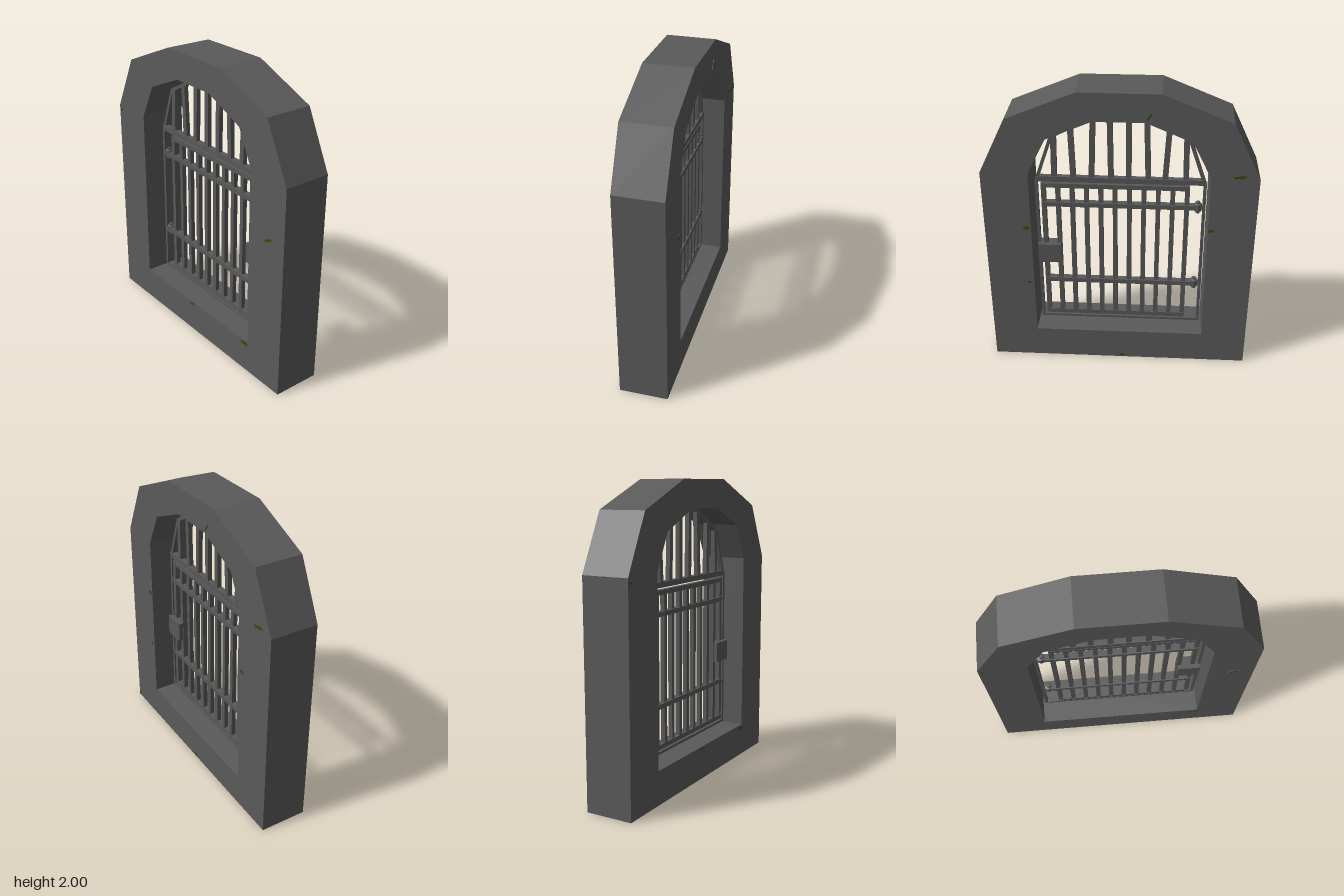
import * as THREE from 'three';

const stone = new THREE.MeshStandardMaterial({ color: 0x5a5a5a, flatShading: true });
stone.name = 'stone grey';
const iron = new THREE.MeshStandardMaterial({ color: 0x585858, flatShading: true });
iron.name = 'iron grey';
const moss = new THREE.MeshStandardMaterial({ color: 0x344a08, flatShading: true });
moss.name = 'moss green';

function add(parent, name, geometry, material) {
  const mesh = new THREE.Mesh(geometry, material);
  mesh.name = name;
  parent.add(mesh);
  return mesh;
}

// Square bar between two (z, y) points in the plane of the gate
function bar(parent, name, a, b, width, depth = 0.03, x = 0) {
  const dz = b[0] - a[0], dy = b[1] - a[1];
  const mesh = add(parent, name, new THREE.BoxGeometry(depth, Math.hypot(dz, dy), width), iron);
  mesh.position.set(x, (a[1] + b[1]) / 2, (a[0] + b[0]) / 2);
  mesh.rotation.x = Math.atan2(dz, dy);
  return mesh;
}

// Half outline mirrored into a closed polygon
const mirrored = half => [...half, ...half.map(([s, y]) => [-s, y]).reverse()]
  .map(([s, y]) => new THREE.Vector2(s, y));

// Height of the iron arch at a given z
function archHeight(z) {
  const s = Math.abs(z);
  if (s < 0.165) return 1.8;
  if (s < 0.445) return 1.8 - (s - 0.165) / 0.28 * 0.155;
  return 1.645 - (s - 0.445) / 0.11 * 0.315;
}

// Jagged moss plate on a side face of the stone
function mossPatch(parent, side, z, y, w, h, tilt = 0) {
  const radii = [1, 0.6, 0.9, 0.55, 1, 0.7, 0.85, 0.5, 0.95, 0.6];
  const pts = radii.map((r, i) => {
    const a = i / radii.length * Math.PI * 2;
    return new THREE.Vector2(Math.cos(a) * r * w / 2, Math.sin(a) * r * h / 2);
  });
  const geo = new THREE.ExtrudeGeometry(new THREE.Shape(pts), { depth: 0.003, bevelEnabled: false });
  geo.rotateZ(tilt).rotateY(side * Math.PI / 2);
  add(parent, 'mossPatch', geo, moss).position.set(side * 0.16, y, z);
}

export function createModel() {
  const model = new THREE.Group();
  model.name = 'archedGate';

  // Stone surround with an arched opening
  const outline = new THREE.Shape(mirrored([[0.88, 0], [0.88, 1.45], [0.7, 1.82], [0.26, 2]]));
  outline.holes.push(new THREE.Path(
    mirrored([[0.575, 0.225], [0.575, 1.45], [0.455, 1.69], [0.165, 1.815]])));
  const surround = new THREE.ExtrudeGeometry(outline, { depth: 0.32, bevelEnabled: false });
  surround.translate(0, 0, -0.16).rotateY(Math.PI / 2);
  add(model, 'stoneSurround', surround, stone);

  // Thin fixed iron frame and arch
  const frame = new THREE.Group();
  frame.name = 'ironFrame';
  model.add(frame);
  for (const s of [-1, 1]) {
    bar(frame, 'frameSide', [s * 0.55, 0.235], [s * 0.55, 1.33], 0.02);
    bar(frame, 'archLower', [s * 0.548, 1.33], [s * 0.44, 1.645], 0.022);
    bar(frame, 'archUpper', [s * 0.445, 1.64], [s * 0.16, 1.795], 0.022);
  }
  bar(frame, 'archTop', [-0.165, 1.797], [0.165, 1.797], 0.022);
  bar(frame, 'frameBottom', [-0.56, 0.243], [0.56, 0.243], 0.017);
  bar(frame, 'transom', [-0.55, 1.343], [0.55, 1.343], 0.036, 0.04);

  // Slightly crooked bars in the arch: z at bottom and top
  const archBars = [[0.43, 0.425], [0.305, 0.316], [0.187, 0.172], [0.06, 0.066],
    [-0.055, -0.055], [-0.182, -0.167], [-0.29, -0.31], [-0.425, -0.42]];
  for (const [z0, z1] of archBars) {
    bar(frame, 'archBar', [z0, 1.34], [z1, archHeight(z1) - 0.005], 0.036);
  }

  // Hinged door
  const door = new THREE.Group();
  door.name = 'door';
  model.add(door);
  for (let i = 0; i < 11; i++) {
    const z = 0.505 - i * 0.0943;
    bar(door, 'doorBar', [z, 0.27], [z, 1.305], 0.031);
  }
  bar(door, 'doorTop', [-0.453, 1.295], [0.52, 1.295], 0.031, 0.034);
  bar(door, 'doorBottom', [-0.453, 0.281], [0.52, 0.281], 0.031, 0.034);
  for (const y of [0.555, 1.157]) {
    bar(door, 'crossStrap', [-0.51, y], [0.52, y], 0.031, 0.045);

    // Hinge barrel with tapered ends
    const profile = [[0, -0.042], [0.014, -0.042], [0.014, -0.03], [0.027, -0.024],
      [0.027, 0.024], [0.014, 0.03], [0.014, 0.042], [0, 0.042]]
      .map(([r, h]) => new THREE.Vector2(r, h));
    add(door, 'hinge', new THREE.LatheGeometry(profile, 8), iron).position.set(0, y, -0.51);
    bar(door, 'hingePin', [-0.51, y], [-0.55, y], 0.02);
  }

  // Lock box
  add(door, 'lockBox', new THREE.BoxGeometry(0.09, 0.14, 0.155), iron).position.set(0, 0.784, 0.478);

  // Moss: side, z, y, width, height, tilt
  const patches = [
    [1, 0.605, 1.055, 0.05, 0.035], [1, -0.595, 1.07, 0.05, 0.03], [1, 0.608, 0.625, 0.03, 0.025],
    [1, -0.755, 1.465, 0.11, 0.03, 0.15], [1, -0.185, 1.855, 0.07, 0.02, 1],
    [1, -0.02, 0.017, 0.045, 0.03], [1, 0.865, 0.015, 0.025, 0.025],
    [-1, 0.74, 1.06, 0.09, 0.025, 0.4], [-1, 0.545, 0.205, 0.09, 0.035],
    [-1, -0.03, 0.21, 0.06, 0.025], [-1, -0.86, 1.42, 0.03, 0.03],
  ];
  for (const p of patches) mossPatch(model, ...p);

  return model;
}
